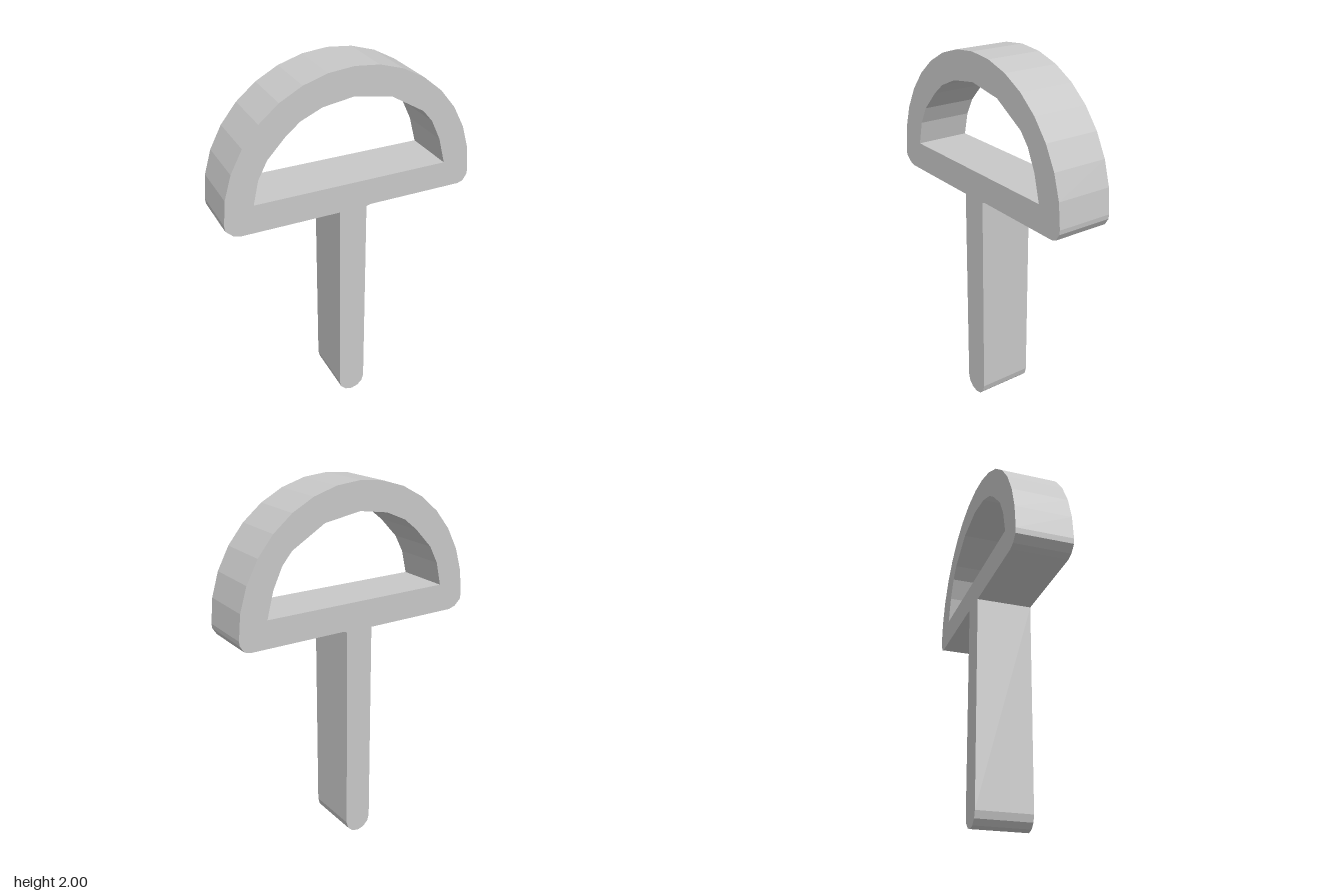
import * as THREE from 'three';

const DEPTH = 0.306;

// Points along a circular arc, angles in degrees
function arc(cx, cy, r, from, to, steps) {
  const points = [];
  for (let i = 0; i <= steps; i++) {
    const a = THREE.MathUtils.degToRad(from + ((to - from) * i) / steps);
    points.push(new THREE.Vector2(cx + r * Math.cos(a), cy + r * Math.sin(a)));
  }
  return points;
}

const toPoints = (list) => list.map(([x, y]) => new THREE.Vector2(x, y));

export function createModel() {
  const model = new THREE.Group();
  model.name = 'tHandle';

  const grey = new THREE.MeshStandardMaterial({ color: 0xc8c8c8 });
  grey.name = 'plain grey';

  // Outline: faceted dome, clipped lower corners, stem with a rounded tip
  const outline = new THREE.Shape([
    ...arc(0, 1.31, 0.69, 0, 180, 16),
    ...toPoints([[-0.687, 1.28], [-0.65, 1.245], [-0.61, 1.233], [-0.077, 1.233]]),
    ...arc(0, 0.078, 0.077, 180, 360, 6),
    ...toPoints([[0.077, 1.233], [0.1, 1.24], [0.635, 1.24], [0.665, 1.25], [0.687, 1.285]]),
  ]);

  // D-shaped finger opening
  outline.holes.push(new THREE.Path(toPoints([
    [-0.535, 1.387], [-0.505, 1.515], [-0.455, 1.61], [-0.355, 1.715], [-0.28, 1.775],
    [-0.165, 1.825], [0, 1.85], [0.205, 1.815], [0.39, 1.705], [0.445, 1.64],
    [0.497, 1.53], [0.535, 1.387],
  ])));

  // Handle and stem are one continuous slab
  const geometry = new THREE.ExtrudeGeometry(outline, { depth: DEPTH, bevelEnabled: false });
  geometry.translate(0, 0, -DEPTH / 2);
  const body = new THREE.Mesh(geometry, grey);
  body.name = 'handleAndStem';
  model.add(body);

  return model;
}
